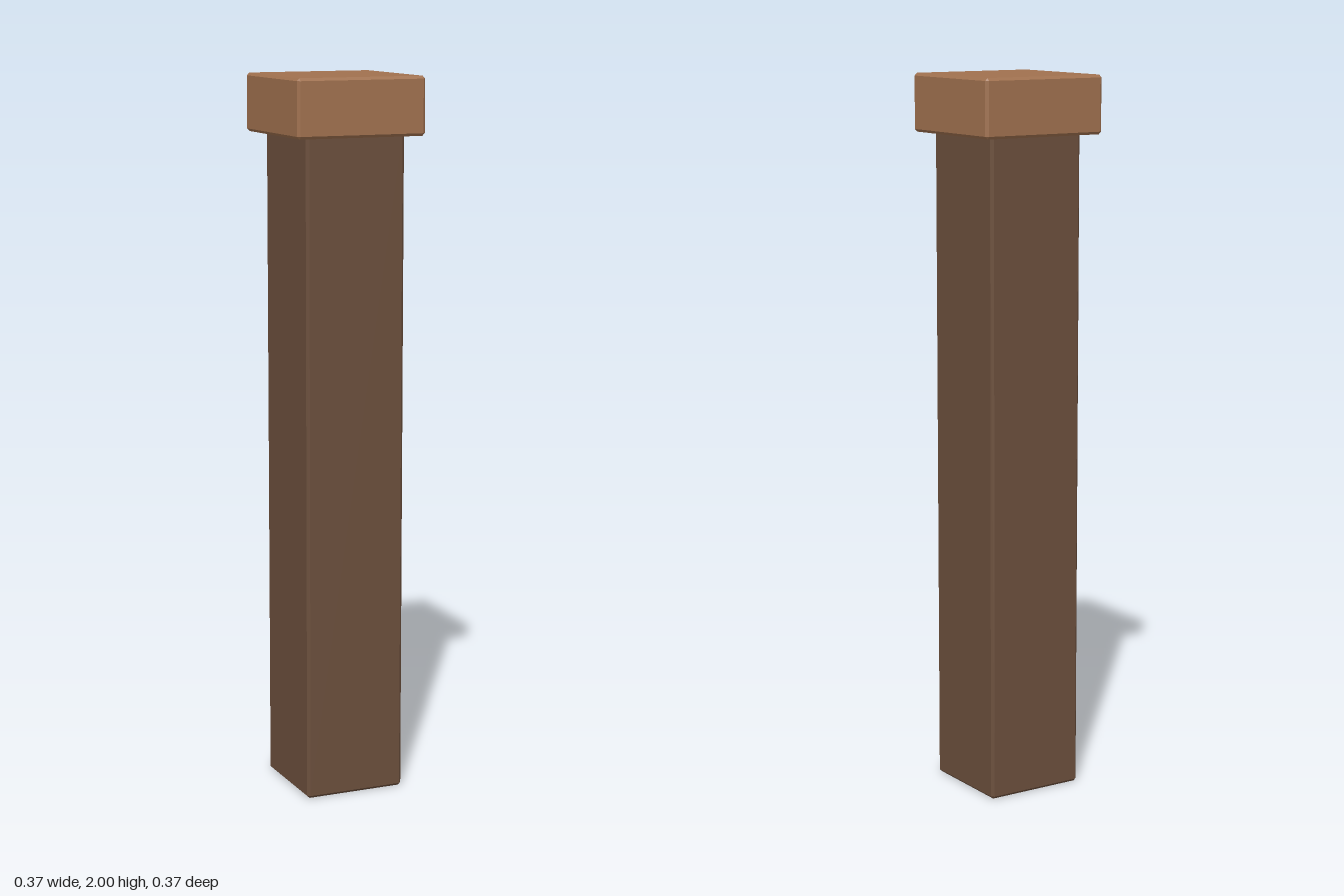
import * as THREE from 'three';
import { ConvexGeometry } from 'three/addons/geometries/ConvexGeometry.js';

// Box with flat chamfers on every edge
function chamferedBox(width, height, depth, c) {
  const points = [];
  const [x, y, z] = [width / 2, height / 2, depth / 2];
  for (const sx of [-1, 1]) for (const sy of [-1, 1]) for (const sz of [-1, 1]) {
    points.push(
      new THREE.Vector3(sx * x, sy * (y - c), sz * (z - c)),
      new THREE.Vector3(sx * (x - c), sy * y, sz * (z - c)),
      new THREE.Vector3(sx * (x - c), sy * (y - c), sz * z),
    );
  }
  return new ConvexGeometry(points);
}

export function createModel() {
  const group = new THREE.Group();
  group.name = 'woodenPost';

  function addBlock(name, width, bottom, top, color) {
    const material = new THREE.MeshStandardMaterial({ color, flatShading: true });
    const mesh = new THREE.Mesh(chamferedBox(width, top - bottom, width, 0.0075), material);
    mesh.name = name;
    mesh.position.y = (bottom + top) / 2;
    group.add(mesh);
  }

  // Tall dark shaft
  addBlock('shaft', 0.288, 0, 1.85, 0x6b4f3c);
  // Wider, lighter cap
  addBlock('cap', 0.372, 1.84, 2, 0xa0714f);

  return group;
}
